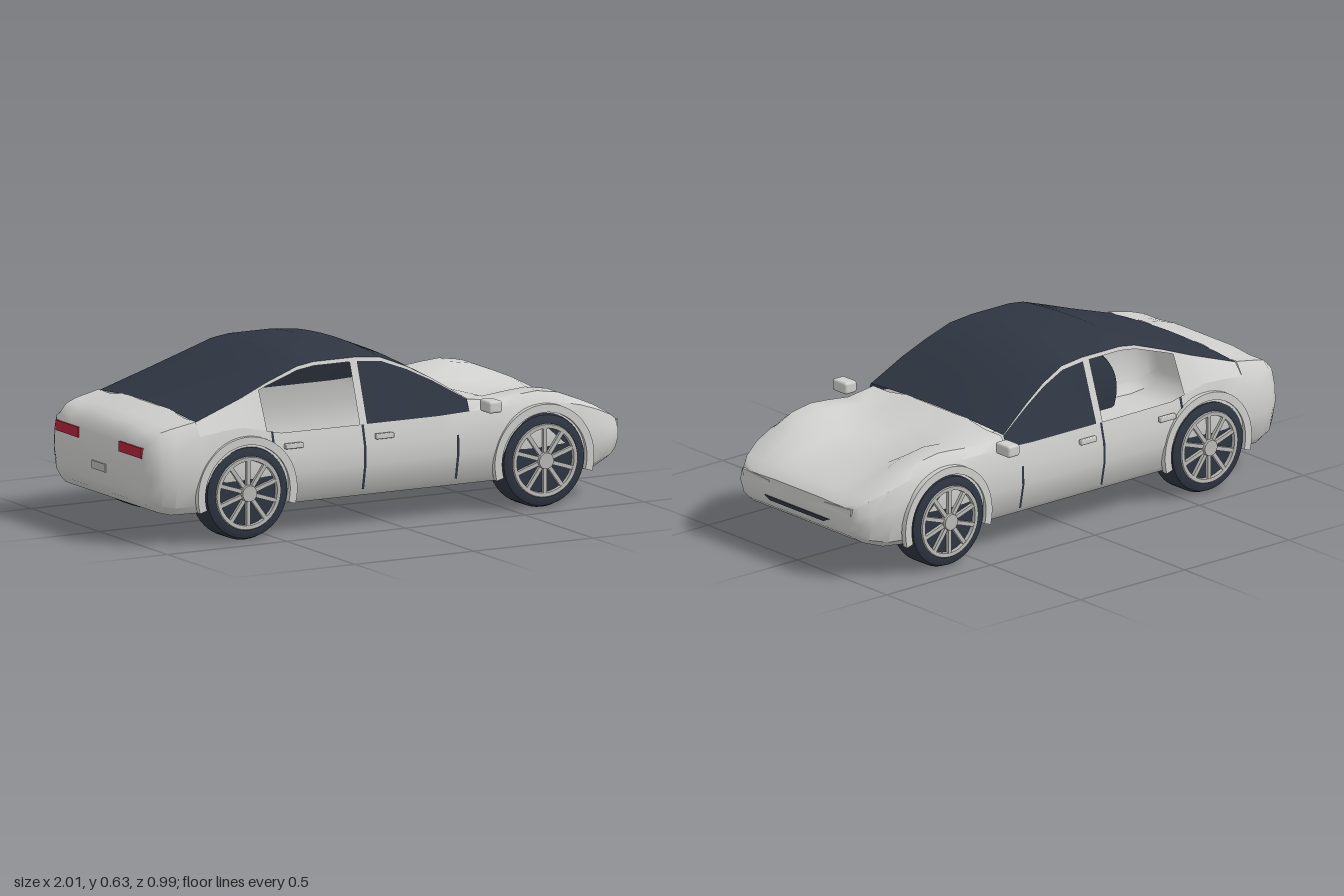
import * as THREE from 'three';
import { toCreasedNormals } from 'three/addons/utils/BufferGeometryUtils.js';
import { RoundedBoxGeometry } from 'three/addons/geometries/RoundedBoxGeometry.js';

const mat = (name, color) => {
  const m = new THREE.MeshStandardMaterial({ color, side: THREE.DoubleSide });
  m.name = name;
  return m;
};

// Hull stations: x, half width, bottom, shoulder, fender top, centre line
const HULL = [
  [-1.0, .33, .19, .35, .36, .36], [-.985, .36, .155, .375, .39, .395],
  [-.95, .385, .125, .385, .415, .425], [-.9, .40, .112, .39, .43, .44],
  [-.8, .41, .112, .40, .45, .465], [-.7, .414, .112, .413, .45, .46],
  [-.62, .414, .112, .417, .45, .45], [-.54, .412, .112, .40, .4, .4],
  [-.46, .41, .112, .382, .4, .4], [-.1, .41, .112, .38, .4, .4],
  [.2, .41, .112, .38, .4, .4], [.33, .41, .112, .385, .425, .44],
  [.45, .41, .112, .387, .41, .405], [.55, .412, .112, .39, .421, .382],
  [.63, .412, .112, .39, .427, .37], [.72, .41, .112, .38, .413, .36],
  [.8, .404, .113, .362, .382, .346], [.88, .388, .118, .335, .348, .33],
  [.95, .36, .14, .305, .31, .308], [.985, .335, .165, .283, .289, .291],
  [1.0, .305, .188, .268, .276, .279],
];
// Roof stations: x, edge height, edge half width, crown height
const ROOF = [
  [-.8, .447, .352, .467], [-.6, .515, .337, .532], [-.48, .56, .32, .576],
  [-.35, .605, .312, .624], [-.28, .615, .31, .635], [-.1, .615, .31, .634],
  [0, .605, .312, .624], [.1, .565, .325, .583], [.2, .512, .345, .528], [.33, .43, .37, .442],
];

function sample(table, x) {
  let i = 0;
  while (i < table.length - 2 && x > table[i + 1][0]) i++;
  const a = table[i], b = table[i + 1], t = (x - a[0]) / (b[0] - a[0]);
  return a.map((v, k) => v + (b[k] - v) * t);
}

// Half cross-section as [z, y], bottom centre to top centre
function section([, w, yb, ys, yf, yc]) {
  const h = ys - yb;
  return [[0, yb], [w - .05, yb], [w - .018, yb + h * .11], [w, yb + h * .45], [w - .002, yb + h * .72],
    [w - .02, ys], [w * .87, yf], [w * .66, yf], [w * .42, yc], [0, yc]];
}

// Skin a grid of [x, y, z] rows
function skin(rows, skip = () => false) {
  const n = rows[0].length, index = [];
  for (let i = 0; i < rows.length - 1; i++) for (let j = 0; j < n - 1; j++) {
    if (skip(i, j)) continue;
    const a = i * n + j, b = a + n;
    index.push(a, a + 1, b, b, a + 1, b + 1);
  }
  const g = new THREE.BufferGeometry();
  g.setAttribute('position', new THREE.Float32BufferAttribute(rows.flat(2), 3));
  g.setIndex(index);
  return toCreasedNormals(g, .65);
}

const steps = (a, b, n) => Array.from({ length: n + 1 }, (_, i) => a + (b - a) * i / n);

export function createModel() {
  const body = mat('silver paint', 0xcfcfcd);
  const dark = mat('dark glass and rubber', 0x2f3642);
  const red = mat('red lamp', 0xb3243a);
  const alloy = mat('wheel alloy', 0xb9b9b7);
  const car = new THREE.Group();
  car.name = 'car';
  const add = (name, geo, m, x = 0, y = 0, z = 0, parent = car) => {
    const mesh = new THREE.Mesh(geo, m);
    mesh.name = name;
    mesh.position.set(x, y, z);
    parent.add(mesh);
    return mesh;
  };

  // Hull: full rings with closed ends, open above the belt line of the cabin
  const rings = HULL.map(s => {
    const half = section(s);
    return [...half.slice().reverse().map(([z, y]) => [s[0], y, z]),
      ...half.slice(1).map(([z, y]) => [s[0], y, -z])];
  });
  const cap = (x, y) => rings[0].map(() => [x, y, 0]);
  const rows = [cap(-1, .275), ...rings, cap(1, .235)];
  const open = (i, j) => rows[i][0][0] > -.81 && rows[i + 1][0][0] < .34 && (j < 4 || j > 13);
  add('bodyShell', skin(rows, open), body);

  // Glass canopy from rear window to windscreen
  const canopy = ROOF.map(([x, ye, zr, yc]) =>
    steps(1, -1, 16).map(s => [x, ye + (yc - ye) * (1 - s * s), s * zr]));
  add('glassRoof', skin(canopy), dark);

  // Cabin side panel between belt line (t = 0) and roof edge (t = 1)
  const panel = (name, m, side, x0, x1, t0, t1) => {
    const xs = [x0, ...[...ROOF, ...HULL].map(r => r[0]).filter(x => x > x0 && x < x1).sort((a, b) => a - b), x1];
    const grid = xs.map(x => {
      const [z0, y0] = section(sample(HULL, x))[5], [, y1, z1] = sample(ROOF, x);
      return [t1, t0].map(t => [x, y0 + (y1 - y0) * t, side * (z0 + (z1 - z0) * t)]);
    });
    add(name, skin(grid), m);
  };
  // Dark shut line following the hull side
  const seam = (x, side, from, to) => {
    const line = [x - .005, x + .005].map(px =>
      section(sample(HULL, px)).slice(from, to + 1).map(([z, y]) => [px, y, side * (z + .003)]));
    add('doorSeam', skin(line), dark);
  };

  // Fender lip around a wheel
  const lip = new THREE.Shape();
  const a0 = -.28;
  lip.absarc(0, 0, .208, a0, Math.PI - a0, false);
  lip.absarc(0, 0, .178, Math.PI - a0, a0, true);
  const lipGeo = new THREE.ExtrudeGeometry(lip, { depth: .022, bevelEnabled: false, curveSegments: 28 });

  // Tyre profile revolved around the axle
  const tyreGeo = new THREE.LatheGeometry([[0, -.068], [.15, -.068], [.168, -.06], [.176, -.04],
    [.176, .04], [.168, .06], [.15, .068], [.137, .068], [.132, .058], [0, .058]]
    .map(([r, h]) => new THREE.Vector2(r, h)), 48);
  const tyreCreased = toCreasedNormals(tyreGeo, .7).rotateX(Math.PI / 2);
  const rimGeo = toCreasedNormals(new THREE.LatheGeometry([[.118, .056], [.12, .072], [.134, .073], [.137, .066]]
    .map(([r, h]) => new THREE.Vector2(r, h)), 48), .5).rotateX(Math.PI / 2);
  const spokeGeo = new THREE.BoxGeometry(.098, .015, .014).translate(.073, 0, .064);
  const hubGeo = new THREE.CylinderGeometry(.03, .034, .024, 24).rotateX(Math.PI / 2);

  for (const side of [1, -1]) {
    panel('roofRail', body, side, -.8, .33, .94, 1);
    panel('rearPillar', body, side, -.8, -.52, 0, .94);
    panel('middlePillar', body, side, -.13, -.1, 0, .94);
    panel('frontSideWindow', dark, side, -.1, .33, 0, .94);
    seam(-.12, side, 2, 5);
    seam(.27, side, 2, 4);
    seam(-.5, side, 4, 5);

    for (const x of [-.42, -.04])
      add('doorHandle', new RoundedBoxGeometry(.075, .02, .018, 2, .004), body, x, .335, side * .414);
    add('wingMirror', new RoundedBoxGeometry(.056, .045, .078, 3, .01), body, .382, .412, side * .456);

    for (const x of [-.615, .63]) {
      add('fenderLip', lipGeo, body, x, .178, side > 0 ? .395 : -.417);
      const wheel = new THREE.Group();
      wheel.name = 'wheel';
      wheel.position.set(x, .178, side * .352);
      if (side < 0) wheel.rotation.y = Math.PI;
      car.add(wheel);
      add('tyre', tyreCreased, dark, 0, 0, 0, wheel);
      add('rim', rimGeo, alloy, 0, 0, 0, wheel);
      add('hub', hubGeo, alloy, 0, 0, .068, wheel);
      for (let k = 0; k < 10; k++)
        add('spoke', spokeGeo, alloy, 0, 0, 0, wheel).rotation.z = (k + .5) * Math.PI / 5;
    }

    // Lamps
    add('tailLamp', new THREE.BoxGeometry(.009, .038, .165), red, -1, .345, side * .232);
    const wedge = new THREE.Shape([[.155, .263], [.3, .25], [.305, .277], [.155, .268]]
      .map(([z, y]) => new THREE.Vector2(-z * side, y)));
    const lamp = new THREE.ExtrudeGeometry(wedge, { depth: .008, bevelEnabled: false });
    add('headLamp', lamp.rotateY(Math.PI / 2), body, .995, 0, 0);
  }

  // Front intake and rear plate
  const slot = new THREE.Shape([[-.15, .194], [.15, .194], [.18, .208], [-.18, .208]]
    .map(([z, y]) => new THREE.Vector2(z, y)));
  add('frontIntake', new THREE.ExtrudeGeometry(slot, { depth: .006, bevelEnabled: false })
    .rotateY(Math.PI / 2), dark, .998, 0, 0);
  add('rearPlate', new THREE.BoxGeometry(.009, .03, .1), alloy, -1, .245, 0);
  return car;
}
